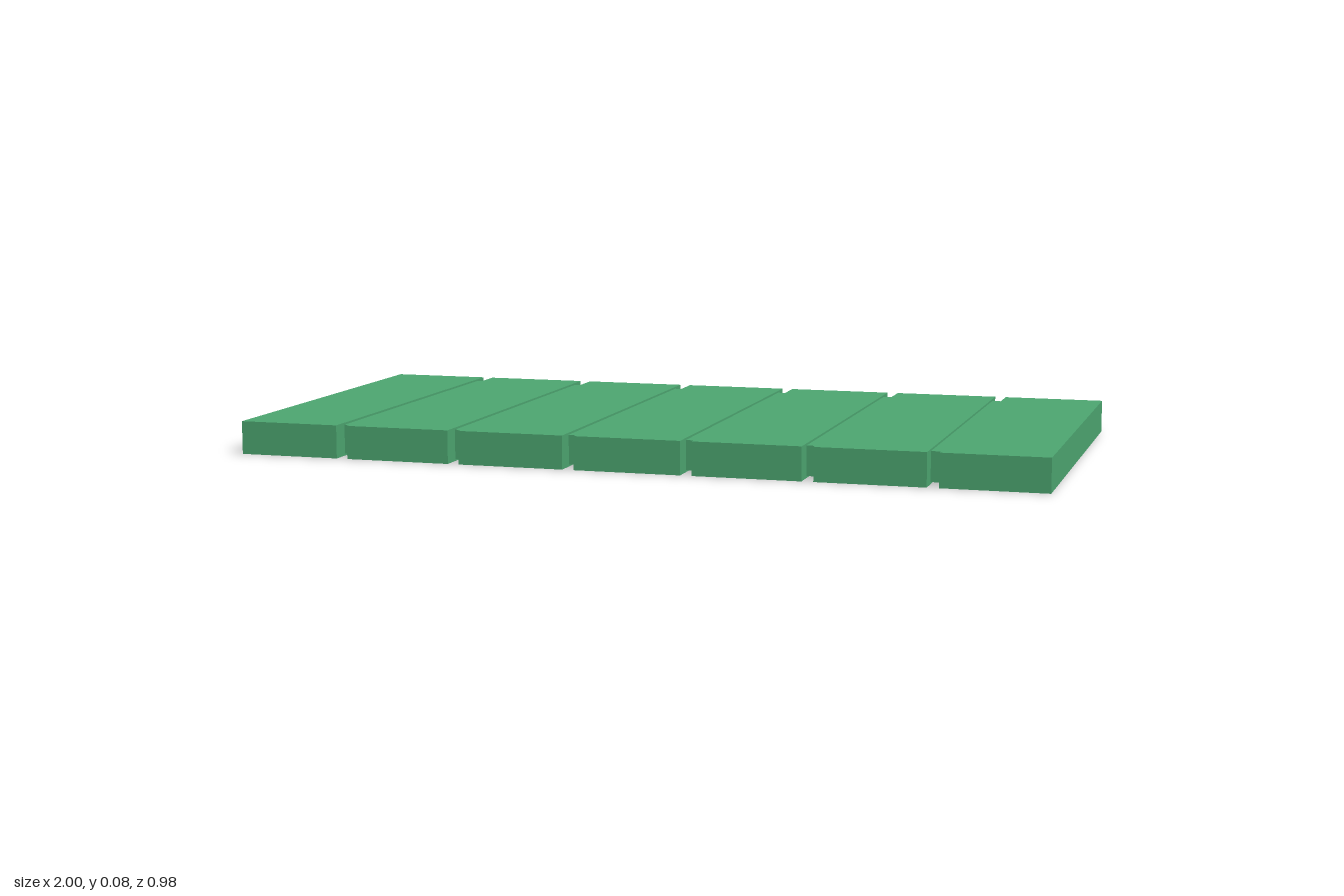
import * as THREE from 'three';

const HEIGHT = 0.082, DEPTH = 0.982;
const PITCH = 0.2926, GAP = 0.028;
const RECESS = 0.005, NOTCH = 0.048;

export function createModel() {
  const group = new THREE.Group();
  group.name = 'slattedPanel';
  const material = new THREE.MeshStandardMaterial({ color: 0x4da771, flatShading: true });

  function addBox(name, x0, x1, height, depth) {
    const mesh = new THREE.Mesh(new THREE.BoxGeometry(x1 - x0, height, depth), material);
    mesh.position.set((x0 + x1) / 2, HEIGHT / 2, 0);
    mesh.name = name;
    group.add(mesh);
  }

  // Six evenly spaced grooves, each bridged by a recessed joint strip
  const grooves = Array.from({ length: 6 }, (_, i) => (i - 2.5) * PITCH);
  grooves.forEach((x, i) => addBox(`jointStrip${i + 1}`, x - GAP / 2, x + GAP / 2,
    HEIGHT - 2 * RECESS, DEPTH - 2 * NOTCH));

  // Seven planks filling the spans between grooves
  for (let i = 0; i <= grooves.length; i++) {
    const x0 = i === 0 ? -1 : grooves[i - 1] + GAP / 2;
    const x1 = i === grooves.length ? 1 : grooves[i] - GAP / 2;
    addBox(`plank${i + 1}`, x0, x1, HEIGHT, DEPTH);
  }
  return group;
}
